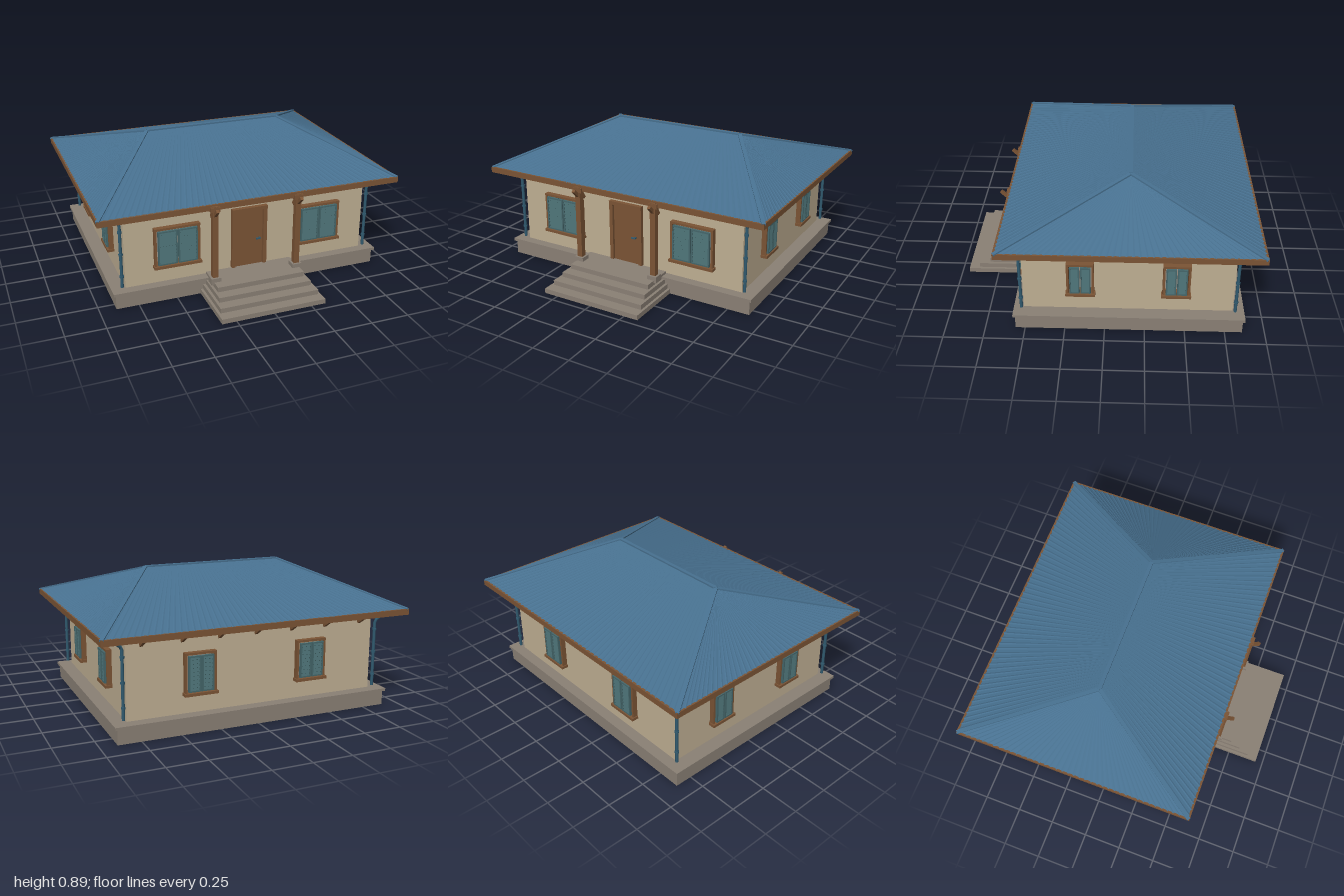
import * as THREE from 'three';

const mat = (name, color) => Object.assign(new THREE.MeshStandardMaterial({ color }), { name });

export function createModel() {
  const roofBlue = mat('roof blue', 0x47708f);
  roofBlue.side = THREE.DoubleSide;
  const plaster = mat('plaster', 0xbfaf93);
  const stone = mat('stone', 0x8a8075);
  const wood = mat('wood', 0x7b5435);
  const teal = mat('shutter teal', 0x45676b);
  const pipeBlue = mat('pipe blue', 0x315b70);

  const house = new THREE.Group();
  house.name = 'house';
  const V = (x, y, z) => new THREE.Vector3(x, y, z);

  const add = (parent, name, geo, material, x = 0, y = 0, z = 0) => {
    const m = new THREE.Mesh(geo, material);
    m.name = name;
    m.position.set(x, y, z);
    parent.add(m);
    return m;
  };
  // box given by its extents
  const box = (parent, name, material, x0, x1, y0, y1, z0, z1) =>
    add(parent, name, new THREE.BoxGeometry(x1 - x0, y1 - y0, z1 - z0), material,
      (x0 + x1) / 2, (y0 + y1) / 2, (z0 + z1) / 2);
  // square beam between two points
  const beam = (parent, name, material, a, b, w, h = w) => {
    const m = new THREE.Mesh(new THREE.BoxGeometry(w, h, a.distanceTo(b)), material);
    m.name = name;
    m.position.copy(a).add(b).multiplyScalar(0.5);
    m.lookAt(b);
    parent.add(m);
    return m;
  };

  // plinth and steps
  box(house, 'plinth', stone, -0.895, 0.895, 0, 0.092, -0.86, 0.56);
  box(house, 'plinthCap', stone, -0.91, 0.91, 0.092, 0.11, -0.872, 0.573);
  [[0.345, 0.95], [0.328, 0.88], [0.31, 0.81], [0.293, 0.74]].forEach(([hw, z], i) =>
    box(house, 'step', stone, -hw, hw, i * 0.0315, (i + 1) * 0.0315, 0.52, z));

  // shuttered window, facing +z, centred on x = 0
  const makeWindow = (w, y0, y1) => {
    const g = new THREE.Group();
    g.name = 'window';
    const hw = w / 2, t = 0.014;
    for (const s of [-1, 1]) {
      const c = s * (hw - t / 2);
      box(g, 'windowJamb', wood, c - t / 2, c + t / 2, y0, y1, -0.03, 0.032);
    }
    box(g, 'windowHead', wood, -hw, hw, y1 - t, y1, -0.03, 0.034);
    box(g, 'windowSill', wood, -hw - 0.007, hw + 0.007, y0 - 0.012, y0 + 0.006, -0.03, 0.045);
    const inner = hw - t - 0.006, b = y0 + 0.012, top = y1 - t - 0.005;
    for (const s of [-1, 1]) {
      const x0 = s > 0 ? 0.003 : -inner, x1 = s > 0 ? inner : -0.003;
      for (const x of [x0, x1 - 0.009]) box(g, 'shutterStile', teal, x, x + 0.009, b, top, 0.026, 0.042);
      for (const y of [b, top - 0.009]) box(g, 'shutterRail', teal, x0, x1, y, y + 0.009, 0.026, 0.042);
      const n = 9;
      for (let i = 0; i < n; i++) {
        const y = b + (top - b) * (i + 0.5) / n;
        const slat = box(g, 'shutterSlat', teal, x0, x1, y - 0.0125, y + 0.0125, 0.032, 0.036);
        slat.rotation.x = -0.5;
      }
    }
    return g;
  };

  // one wall with openings, windows and eave brackets
  const Y0 = 0.11, Y1 = 0.615;
  const makeWall = (name, halfLen, dist, angle, windows, w, y0, y1, brackets) => {
    const g = new THREE.Group();
    g.name = name;
    const s = new THREE.Shape([[-halfLen, Y0], [halfLen, Y0], [halfLen, Y1], [-halfLen, Y1]]
      .map(p => new THREE.Vector2(...p)));
    for (const x of windows) {
      const h = w / 2 - 0.008;
      s.holes.push(new THREE.Path([[x - h, y0], [x - h, y1 - 0.008], [x + h, y1 - 0.008], [x + h, y0]]
        .map(p => new THREE.Vector2(...p))));
      const win = makeWindow(w, y0, y1);
      win.position.x = x;
      g.add(win);
    }
    add(g, 'wallPanel', new THREE.ExtrudeGeometry(s, { depth: 0.03, bevelEnabled: false }), plaster, 0, 0, -0.03);
    for (const x of brackets)
      beam(g, 'eaveBracket', wood, V(x, 0.555, 0), V(x, 0.612, 0.09), 0.018);
    g.rotation.y = angle;
    g.position.set(Math.sin(angle) * dist, 0, -0.145 + Math.cos(angle) * dist);
    house.add(g);
  };
  const q = Math.PI / 2;
  makeWall('frontWall', 0.82, 0.655, 0, [-0.485, 0.485], 0.296, 0.23, 0.49, [-0.727, -0.476, 0.476, 0.727]);
  makeWall('backWall', 0.82, 0.655, Math.PI, [-0.37, 0.37], 0.2, 0.235, 0.485,
    [-0.727, -0.476, -0.24, 0, 0.24, 0.476, 0.727]);
  for (const [name, a] of [['leftWall', q], ['rightWall', -q]])
    makeWall(name, 0.655, 0.82, a, [-0.295, 0.295], 0.17, 0.245, 0.47, [-0.535, 0, 0.535]);

  // door
  for (const s of [-1, 1]) box(house, 'doorJamb', wood, s * 0.108 - 0.012, s * 0.108 + 0.012, 0.126, 0.53, 0.5, 0.535);
  box(house, 'doorHead', wood, -0.12, 0.12, 0.512, 0.535, 0.5, 0.538);
  box(house, 'doorPanel', wood, -0.092, 0.092, 0.126, 0.51, 0.5, 0.522);
  box(house, 'doorHandle', pipeBlue, 0.045, 0.075, 0.306, 0.314, 0.53, 0.54);
  box(house, 'doorHandleStem', pipeBlue, 0.067, 0.075, 0.304, 0.316, 0.52, 0.535);

  // porch posts
  for (const s of [-1, 1]) {
    const x = s * 0.278, z = 0.64;
    box(house, 'postBase', stone, x - 0.032, x + 0.032, 0.11, 0.152, z - 0.032, z + 0.032);
    box(house, 'post', wood, x - 0.018, x + 0.018, 0.15, 0.635, z - 0.018, z + 0.018);
    box(house, 'postCap', wood, x - 0.03, x + 0.03, 0.6, 0.63, z - 0.025, z + 0.02);
    beam(house, 'postBrace', wood, V(x, 0.565, z), V(x, 0.622, z + 0.057), 0.02);
    beam(house, 'postBrace', wood, V(x, 0.61, z - 0.008), V(x, 0.545, z - 0.05), 0.02);
  }

  // corner downpipes with an offset to the eaves
  for (const sx of [-1, 1]) for (const [z, sz] of [[0.522, 1], [-0.812, -1]]) {
    const x = sx * 0.843;
    const path = new THREE.CurvePath();
    const pts = [V(x, 0.125, z), V(x, 0.555, z), V(x + sx * 0.07, 0.612, z + sz * 0.02)];
    path.add(new THREE.LineCurve3(pts[0], pts[1]));
    path.add(new THREE.LineCurve3(pts[1], pts[2]));
    add(house, 'downpipe', new THREE.TubeGeometry(path, 20, 0.01, 8), pipeBlue);
    for (const y of [0.2, 0.35, 0.5])
      add(house, 'pipeCollar', new THREE.CylinderGeometry(0.014, 0.014, 0.012, 8), pipeBlue, x, y, z);
  }

  // ribbed roof slopes
  const E = 0.642, zf = 0.64, zb = -0.945, X = 0.995;
  const FL = V(-X, E, zf), FR = V(X, E, zf), BL = V(-X, E, zb), BR = V(X, E, zb);
  const RL = V(-0.47, 0.888, -0.15), RR = V(0.47, 0.888, -0.15);
  const slope = (name, a, b, c, d, ribs) => {
    const plane = new THREE.PlaneGeometry(1, 1, ribs * 4, 1);
    const p = plane.attributes.position;
    for (let i = 0; i < p.count; i++) {
      const u = p.getX(i) + 0.5, v = p.getY(i) + 0.5;
      const pt = a.clone().lerp(b, u).lerp(d.clone().lerp(c, u), v);
      if (Math.round(u * ribs * 4) % 4 === 2) pt.y += 0.003 * (1 - v);
      p.setXYZ(i, pt.x, pt.y, pt.z);
    }
    const geo = plane.toNonIndexed();
    geo.computeVertexNormals();
    add(house, name, geo, roofBlue);
  };
  slope('frontRoof', FL, FR, RR, RL, 50);
  slope('backRoof', BR, BL, RL, RR, 50);
  slope('leftRoof', FR, BR, RR, RR, 40);
  slope('rightRoof', BL, FL, RL, RL, 40);
  box(house, 'soffit', roofBlue, -X, X, 0.614, 0.62, zb, zf);

  // ridge and hip caps
  beam(house, 'ridgeCap', roofBlue, RL, RR, 0.024, 0.014);
  for (const [c, r] of [[FL, RL], [BL, RL], [FR, RR], [BR, RR]])
    beam(house, 'hipCap', roofBlue, c, r, 0.024, 0.012);

  // fascia boards
  for (const z of [zf - 0.008, zb - 0.005]) box(house, 'fascia', wood, -1, 1, 0.608, 0.645, z, z + 0.014);
  for (const s of [-1, 1])
    box(house, 'fascia', wood, s * 0.993 - 0.007, s * 0.993 + 0.007, 0.608, 0.645, zb, zf);

  return house;
}
